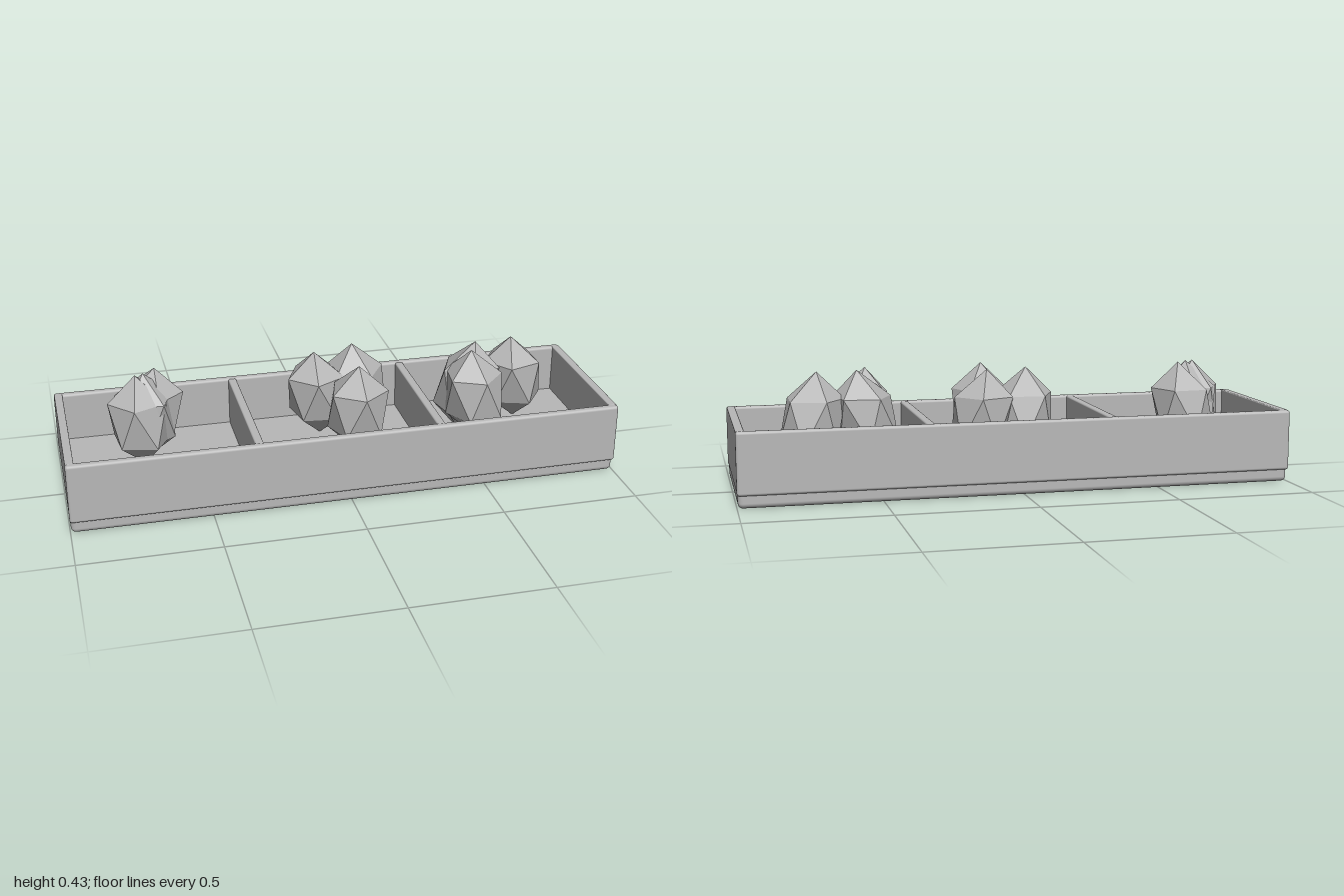
import * as THREE from 'three';
import { RoundedBoxGeometry } from 'three/addons/geometries/RoundedBoxGeometry.js';

export function createModel() {
  const group = new THREE.Group();
  const grey = new THREE.MeshStandardMaterial({ color: 0xb8b8b8 });
  grey.name = 'stone grey';

  const add = (name, geometry, x, y, z) => {
    const mesh = new THREE.Mesh(geometry, grey);
    mesh.name = name;
    mesh.position.set(x, y, z);
    group.add(mesh);
    return mesh;
  };
  const board = (name, [w, h, d], r, x, y, z) =>
    add(name, new RoundedBoxGeometry(w, h, d, 3, r), x, y, z);

  // Tray floor
  board('trayBase', [1.994, 0.083, 0.588], 0.018, 0, 0.0415, 0);

  // Long walls, end walls and dividers
  for (const s of [1, -1]) {
    board(s > 0 ? 'frontWall' : 'backWall', [2, 0.22, 0.03], 0.01, 0, 0.155, s * 0.289);
    board(s > 0 ? 'leftEndWall' : 'rightEndWall', [0.03, 0.215, 0.57], 0.004, s * 0.984, 0.158, 0);
    board(s > 0 ? 'leftDivider' : 'rightDivider', [0.03, 0.2, 0.56], 0.006, s * 0.33, 0.163, 0);
  }

  // Faceted rock standing on one point; the lean shifts its top sideways
  const rockGeometry = (leanX, leanZ, yaw) => {
    const g = new THREE.IcosahedronGeometry(1, 0);
    g.rotateZ(Math.atan(2 / (1 + Math.sqrt(5))));
    g.rotateY(yaw);
    g.scale(0.123, 0.175, 0.123);
    const p = g.attributes.position;
    for (let i = 0; i < p.count; i++) {
      const t = p.getY(i) / 0.175;
      p.setX(i, p.getX(i) + leanX * t);
      p.setZ(i, p.getZ(i) + leanZ * t);
    }
    g.computeVertexNormals();
    return g;
  };

  // Three rocks per compartment: x, z, lean x, lean z, yaw
  const rocks = [
    [-0.66, -0.09, 0.015, 0.015, 0.4],
    [-0.71, -0.025, -0.01, 0.0, 0.1],
    [-0.69, -0.05, 0.0, 0.015, 0.9],
    [-0.04, -0.1, -0.015, 0.02, 0.2],
    [0.115, -0.115, -0.015, -0.01, 0.7],
    [0.075, 0.07, 0.0, 0.015, 0.35],
    [0.72, -0.07, -0.02, 0.02, 0.0],
    [0.53, 0.04, -0.015, 0.0, 0.5],
    [0.525, -0.035, 0.03, 0.0, 0.2],
  ];
  rocks.forEach(([x, z, lx, lz, yaw], i) =>
    add('rock' + (i + 1), rockGeometry(lx, lz, yaw), x, 0.254, z));

  return group;
}
